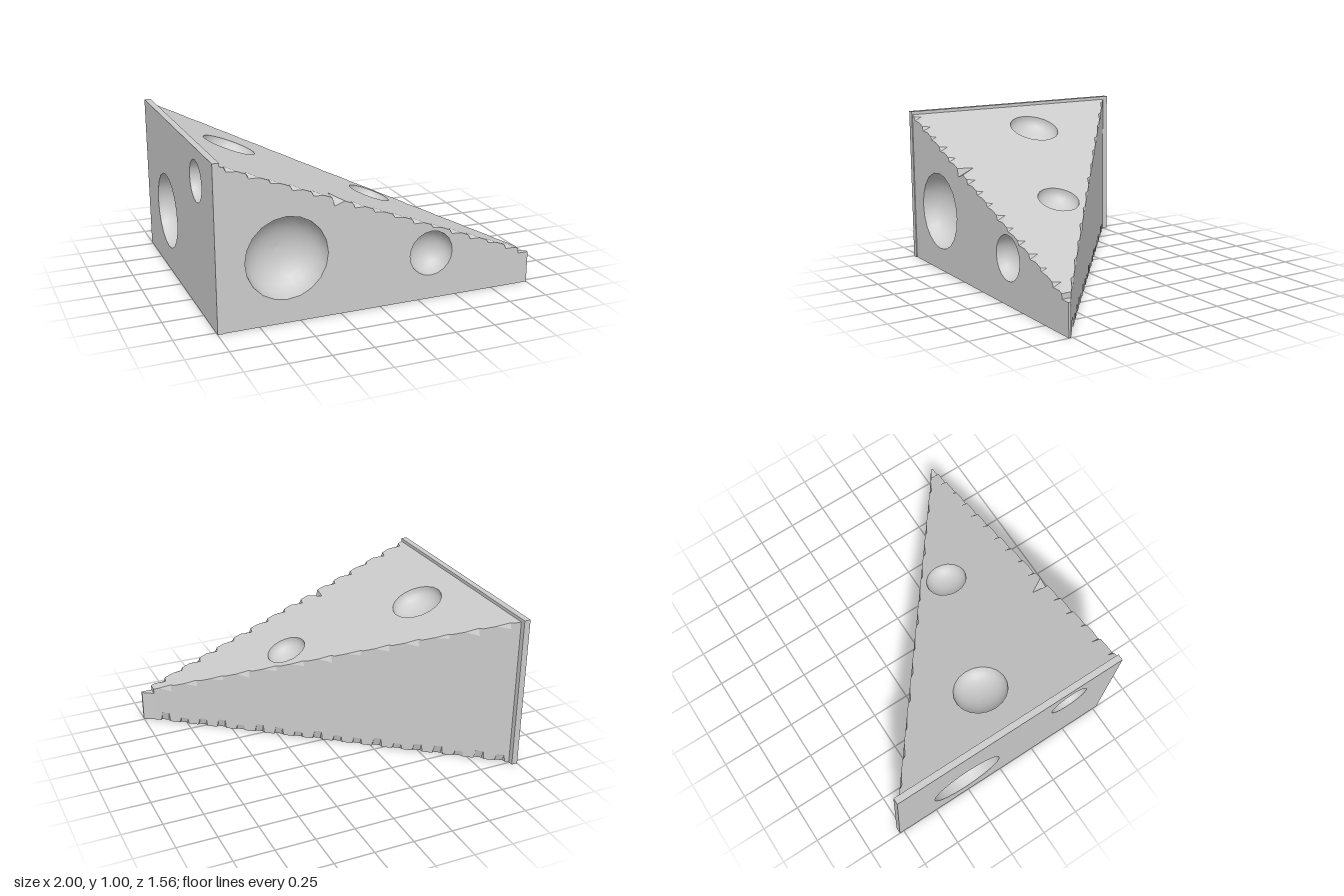
import * as THREE from 'three';

const V = (x, y, z) => new THREE.Vector3(x, y, z);
const SIDES = 20;

export function createModel() {
  const group = new THREE.Group();
  const grey = new THREE.MeshStandardMaterial({ color: 0xcccccc, side: THREE.DoubleSide });
  grey.name = 'cheeseGrey';

  const add = (name, geometry) => {
    const mesh = new THREE.Mesh(geometry, grey);
    mesh.name = name;
    group.add(mesh);
    return mesh;
  };

  // Flat or thick panel facing n, outlined by 3D points, with round hollows {c, r, d}
  function panel(name, n, up, points, hollows = [], thick = 0) {
    n.normalize();
    const u = up.clone().cross(n).normalize();
    const v = n.clone().cross(u);
    const flat = p => new THREE.Vector2(p.dot(u), p.dot(v));
    const shape = new THREE.Shape(points.map(flat));
    const offset = n.clone().multiplyScalar(points[0].dot(n));
    for (const { c, r, d } of hollows) {
      const o = flat(c);
      const ring = [];
      for (let i = 0; i < SIDES; i++) {
        const a = (i / SIDES) * Math.PI * 2;
        ring.push(new THREE.Vector2(o.x + r * Math.sin(a), o.y - r * Math.cos(a)));
      }
      shape.holes.push(new THREE.Path(ring));
      // Rounded bowl sunk behind the opening
      const profile = [];
      for (let k = 0; k <= 8; k++) {
        const a = (k / 8) * Math.PI / 2;
        profile.push(new THREE.Vector2(k === 8 ? 0 : r * Math.cos(a), -d * Math.sin(a)));
      }
      const bowl = new THREE.LatheGeometry(profile, SIDES);
      const at = offset.clone().addScaledVector(u, o.x).addScaledVector(v, o.y).addScaledVector(n, thick);
      bowl.applyMatrix4(new THREE.Matrix4().makeBasis(u, n, v.clone().negate()).setPosition(at));
      add(name + 'Hollow', bowl);
    }
    const geometry = thick
      ? new THREE.ExtrudeGeometry(shape, { depth: thick, bevelEnabled: false })
      : new THREE.ShapeGeometry(shape);
    geometry.applyMatrix4(new THREE.Matrix4().makeBasis(u, v, n).setPosition(offset));
    add(name, geometry);
  }

  // Nibbled edge from p to q: returns its outlines on the two faces and fills the cut between
  function nibbledEdge(name, p, q, inA, inB, teeth, profile, big = -1) {
    const a = [p.clone()], b = [p.clone()];
    for (let i = 0; i < teeth; i++) {
      const scale = i === big ? 1.9 : 0.8 + 0.2 * Math.sin(i * 2.3);
      for (const [t, w] of profile) {
        const at = p.clone().lerp(q, (i + t) / teeth);
        a.push(at.clone().addScaledVector(inA, w * scale));
        b.push(at.clone().addScaledVector(inB, w * scale));
      }
    }
    a.push(q.clone());
    b.push(q.clone());
    const strip = [];
    for (let i = 0; i + 1 < a.length; i++) {
      strip.push(a[i], b[i], a[i + 1], b[i], b[i + 1], a[i + 1]);
    }
    const geometry = new THREE.BufferGeometry().setFromPoints(strip);
    geometry.computeVertexNormals();
    add(name, geometry);
    return [a, b];
  }

  // Corners of the wedge body
  const x0 = -0.96, x1 = 0.93, zf = 0.775;
  const topY = x => 0.6 - 0.395 * x;
  const y0 = topY(x0), y1 = topY(x1);
  const backTop = V(x0, y0, -0.745), backLow = V(x0, 0, -0.745);
  const frontTop = V(x0, y0, zf), frontLow = V(x0, 0, zf);
  const tipBackTop = V(x1, y1, 0.715), tipBackLow = V(x1, 0, 0.715);
  const tipFrontTop = V(x1, y1, zf), tipFrontLow = V(x1, 0, zf);

  const saw = [[0.2, 0], [0.3, 1], [0.8, 0]];
  const square = [[0.2, 0], [0.25, 1], [0.6, 1], [0.7, 0]];
  const [frontEdge, topFrontEdge] = nibbledEdge('frontUpperEdge', frontTop, tipFrontTop,
    V(0, -0.025, 0), V(0, 0, -0.055), 15, saw, 5);
  const [cutUpper, topCutEdge] = nibbledEdge('cutUpperEdge', backTop, tipBackTop,
    V(0, -0.045, 0), V(0, 0, 0.018), 13, saw);
  const [cutLower, baseCutEdge] = nibbledEdge('cutLowerEdge', backLow, tipBackLow,
    V(0, 0.06, 0), V(0, 0, 0.02), 18, square);

  const Y = V(0, 1, 0), Z = V(0, 0, 1);
  const rev = list => [...list].reverse();

  // Front, top, slanted cut and base
  panel('frontFace', V(0, 0, 1), Y, [...frontEdge, tipFrontLow, frontLow], [
    { c: V(-0.58, 0.395, zf), r: 0.25, d: 0.19 },
    { c: V(0.33, 0.29, zf), r: 0.14, d: 0.12 },
  ]);
  panel('topFace', V(0.395, 1, 0), Z, [...topFrontEdge, ...rev(topCutEdge)], [
    { c: V(-0.67, topY(-0.67), 0.01), r: 0.165, d: 0.1 },
    { c: V(0.13, topY(0.13), 0.305), r: 0.13, d: 0.09 },
  ]);
  panel('cutFace', V(1.46, 0, -1.89), Y, [...cutUpper, ...rev(cutLower)]);
  panel('base', V(0, -1, 0), Z, [frontLow, tipFrontLow, ...rev(baseCutEdge)]);
  panel('tipEnd', V(1, 0, 0), Y, [tipFrontTop, tipBackTop, tipBackLow, tipFrontLow]);

  // Rind slab with two hollows
  panel('rind', V(-1, 0, 0), Y,
    [V(x0, 0, -0.78), V(x0, 0, 0.78), V(x0, 1, 0.78), V(x0, 1, -0.78)], [
      { c: V(x0, 0.39, -0.28), r: 0.24, d: 0.18 },
      { c: V(x0, 0.8, 0.43), r: 0.125, d: 0.1 },
    ], 0.04);

  // Blunt point of the wedge
  panel('tip', V(0, 1, 0), Z,
    [V(x1, 0, 0.715), V(x1, 0, zf), V(1, 0, zf), V(1, 0, 0.76)], [], 0.2);

  return group;
}
